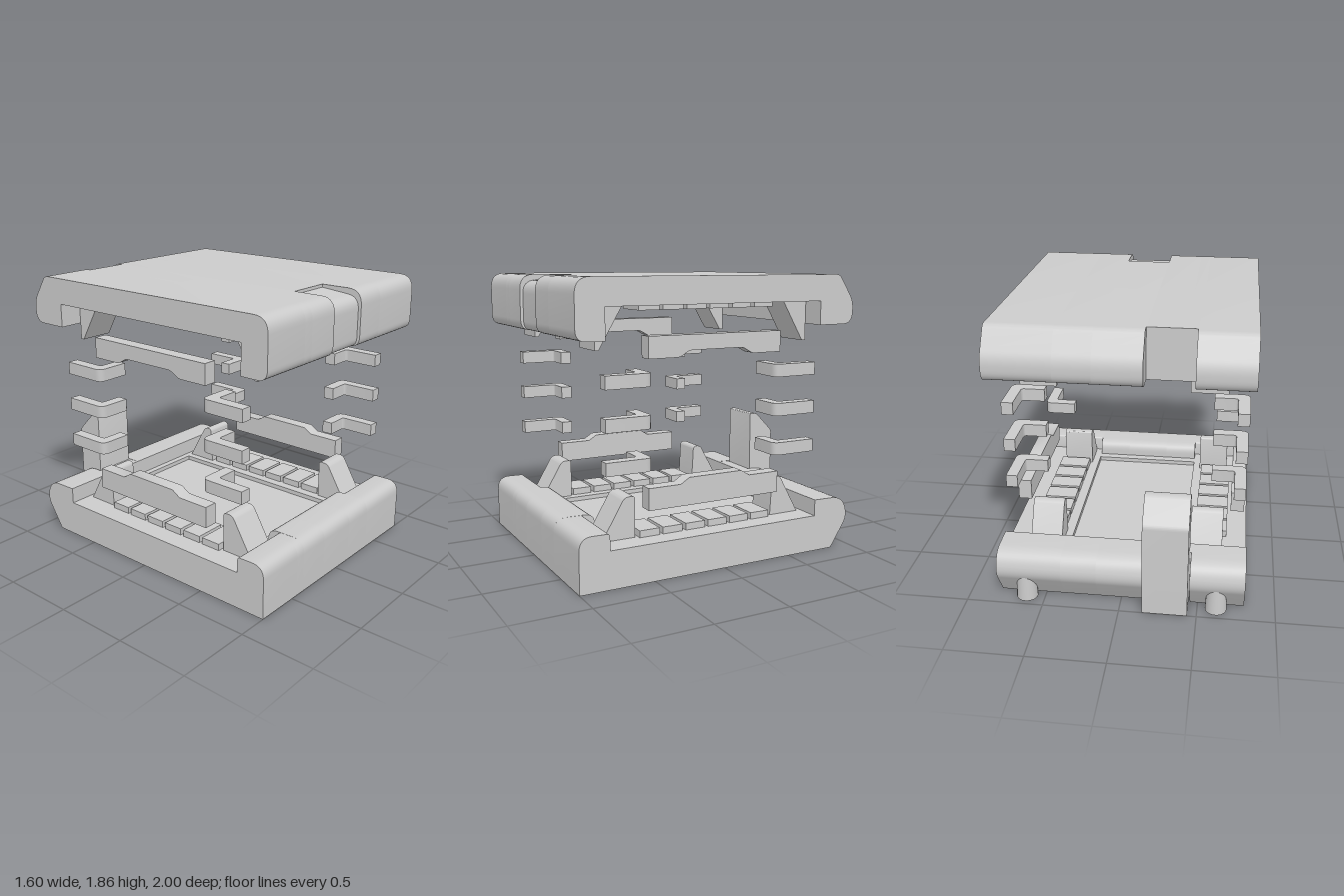
import * as THREE from 'three';
import { toCreasedNormals } from 'three/addons/utils/BufferGeometryUtils.js';

const material = new THREE.MeshStandardMaterial({ color: 0xcccccc, side: THREE.DoubleSide });

// Outline from [u, v, cornerRadius] points, rounding corners that have a radius
function outline(points) {
  const shape = new THREE.Shape();
  const n = points.length;
  points.forEach(([u, v, r = 0], i) => {
    const p = new THREE.Vector2(u, v);
    const toward = (q) => p.clone().add(new THREE.Vector2(q[0] - u, q[1] - v).setLength(r));
    const a = r ? toward(points[(i + n - 1) % n]) : p;
    if (i === 0) shape.moveTo(a.x, a.y); else shape.lineTo(a.x, a.y);
    if (r) {
      const b = toward(points[(i + 1) % n]);
      shape.quadraticCurveTo(u, v, b.x, b.y);
    }
  });
  shape.closePath();
  return shape;
}

function addMesh(parent, name, geometry) {
  const mesh = new THREE.Mesh(geometry, material);
  mesh.name = name;
  parent.add(mesh);
  return mesh;
}

// Side profile in [z, y] extruded between two x positions
function prism(parent, name, points, x0, x1) {
  const geo = new THREE.ExtrudeGeometry(outline(points), { depth: x1 - x0, bevelEnabled: false, curveSegments: 8 });
  geo.rotateY(-Math.PI / 2).translate(x1, 0, 0);
  return addMesh(parent, name, toCreasedNormals(geo, 0.6));
}

// Plan shape in [x, z] extruded upward
function slab(parent, name, points, y0, y1) {
  const geo = new THREE.ExtrudeGeometry(outline(points.map(([x, z, r]) => [x, -z, r])),
    { depth: y1 - y0, bevelEnabled: false, curveSegments: 6 });
  geo.rotateX(-Math.PI / 2).translate(0, y0, 0);
  return addMesh(parent, name, toCreasedNormals(geo, 0.6));
}

// Base cross-section: the middle has a sunken floor and a thicker front rim,
// the latch slot is cut out of the back
function baseProfile(middle, slot) {
  const floor = middle
    ? [[0.72, 0.35, 0.07], [0.72, 0.245], [0.66, 0.245], [0.66, 0.215], [-0.66, 0.215], [-0.66, 0.245]]
    : [[0.8, 0.35, 0.02], [0.8, 0.245]];
  const back = slot
    ? [[-0.8, 0.35], [-0.8, 0]]
    : [[-0.95, 0.35, 0.1], [-0.98, 0.2, 0.05], [-0.85, 0]];
  return [[1, 0], [1, 0.355, 0.09], ...floor, [-0.705, 0.245], [-0.705, 0.355], ...back];
}

function lidProfile(middle, slot, fingerNotch) {
  const front = fingerNotch
    ? [[0.98, 1.49, 0.06], [0.98, 1.81, 0.08], [0.71, 1.835], [0.71, 1.855]]
    : [[1, 1.49, 0.07], [1, 1.855, 0.1]];
  const back = slot
    ? [[-0.8, 1.855], [-0.8, 1.53]]
    : [[-0.855, 1.855, 0.03], [-0.97, 1.68, 0.05], [-0.97, 1.53, 0.08]];
  const ceiling = middle
    ? [[-0.66, 1.685], [-0.66, 1.71], [0.66, 1.71], [0.66, 1.685]] : [];
  return [...front, ...back, [-0.705, 1.53], [-0.705, 1.685], ...ceiling, [0.815, 1.685], [0.815, 1.49]];
}

export function createModel() {
  const model = new THREE.Group();
  const group = (name) => {
    const g = new THREE.Group();
    g.name = name;
    model.add(g);
    return g;
  };
  const base = group('base');
  const lid = group('lid');
  const bars = group('sideBars');
  const clips = group('cornerClips');

  // Tray and lid in lengthwise strips
  const cuts = [-0.8, -0.45, -0.38, -0.15, 0.15, 0.38, 0.8];
  for (let i = 0; i < cuts.length - 1; i++) {
    const [x0, x1] = [cuts[i], cuts[i + 1]];
    const mid = (x0 + x1) / 2;
    const middle = Math.abs(mid) < 0.38;
    const slot = mid > -0.45 && mid < -0.15;
    prism(base, 'baseTray', baseProfile(middle, slot), x0, x1);
    prism(lid, 'lidShell', lidProfile(middle, slot, Math.abs(mid) < 0.15), x0, x1);
  }

  // Latch post standing in the slot at the back
  prism(base, 'latchPost',
    [[-0.805, 0], [-0.805, 0.785, 0.01], [-0.86, 0.785, 0.02], [-1, 0.64, 0.02], [-1, 0]], -0.44, -0.15);

  for (const side of [-1, 1]) {
    const span = (a, b) => (side > 0 ? [a, b] : [-b, -a]);

    // Wedge posts on the base and on the lid
    const post = span(0.43, 0.64);
    prism(base, 'frontWedge', [[0.79, 0.24], [0.63, 0.51, 0.03], [0.56, 0.51, 0.02], [0.56, 0.24]], ...post);
    prism(base, 'backWedge', [[-0.45, 0.24], [-0.465, 0.51, 0.03], [-0.525, 0.51, 0.03], [-0.675, 0.24]], ...post);
    const lidPost = span(0.41, 0.64);
    prism(lid, 'frontLidWedge', [[0.815, 1.69], [0.815, 1.42], [0.79, 1.42], [0.63, 1.69]], ...lidPost);
    prism(lid, 'backLidWedge', [[-0.705, 1.69], [-0.705, 1.42], [-0.68, 1.42], [-0.52, 1.69]], ...lidPost);

    // Rows of flat ribs
    for (let i = 0; i < 6; i++) {
      const z = 0.47 - i * 0.164;
      for (const [parent, y, h] of [[base, 0.265, 0.05], [lid, 1.67, 0.04]]) {
        addMesh(parent, 'rib', new THREE.BoxGeometry(0.22, h, 0.14)).position.set(side * 0.555, y, z);
      }
    }

    // Round feet under the back edge
    addMesh(base, 'foot', new THREE.CylinderGeometry(0.06, 0.07, 0.2, 24)).position.set(side * 0.62, 0.1, -0.9);

    // Side bars with a raised or cut-away middle
    const bar = span(0.685, 0.775);
    prism(bars, 'lowerBar', [[0.53, 0.445], [0.53, 0.585], [0.31, 0.585], [0.25, 0.622],
      [-0.13, 0.622], [-0.19, 0.585], [-0.41, 0.585], [-0.41, 0.445]], ...bar);
    prism(bars, 'upperBar', [[0.53, 1.505], [0.53, 1.37], [0.32, 1.37, 0.02], [0.25, 1.41, 0.02],
      [-0.13, 1.41, 0.02], [-0.2, 1.37, 0.02], [-0.41, 1.37], [-0.41, 1.505]], ...bar);

    // Three L-shaped clips at each corner
    for (const y of [0.69, 0.95, 1.205]) {
      for (const [outer, inner] of [[0.81, 0.5], [-0.69, -0.38]]) {
        const d = Math.sign(outer) * 0.075;
        slab(clips, 'cornerClip', [
          [side * 0.775, outer], [side * 0.775, inner, 0.05], [side * 0.55, inner],
          [side * 0.55, inner + d], [side * 0.7, inner + d, 0.02], [side * 0.7, outer],
        ], y, y + 0.083);
      }
    }
  }
  return model;
}
